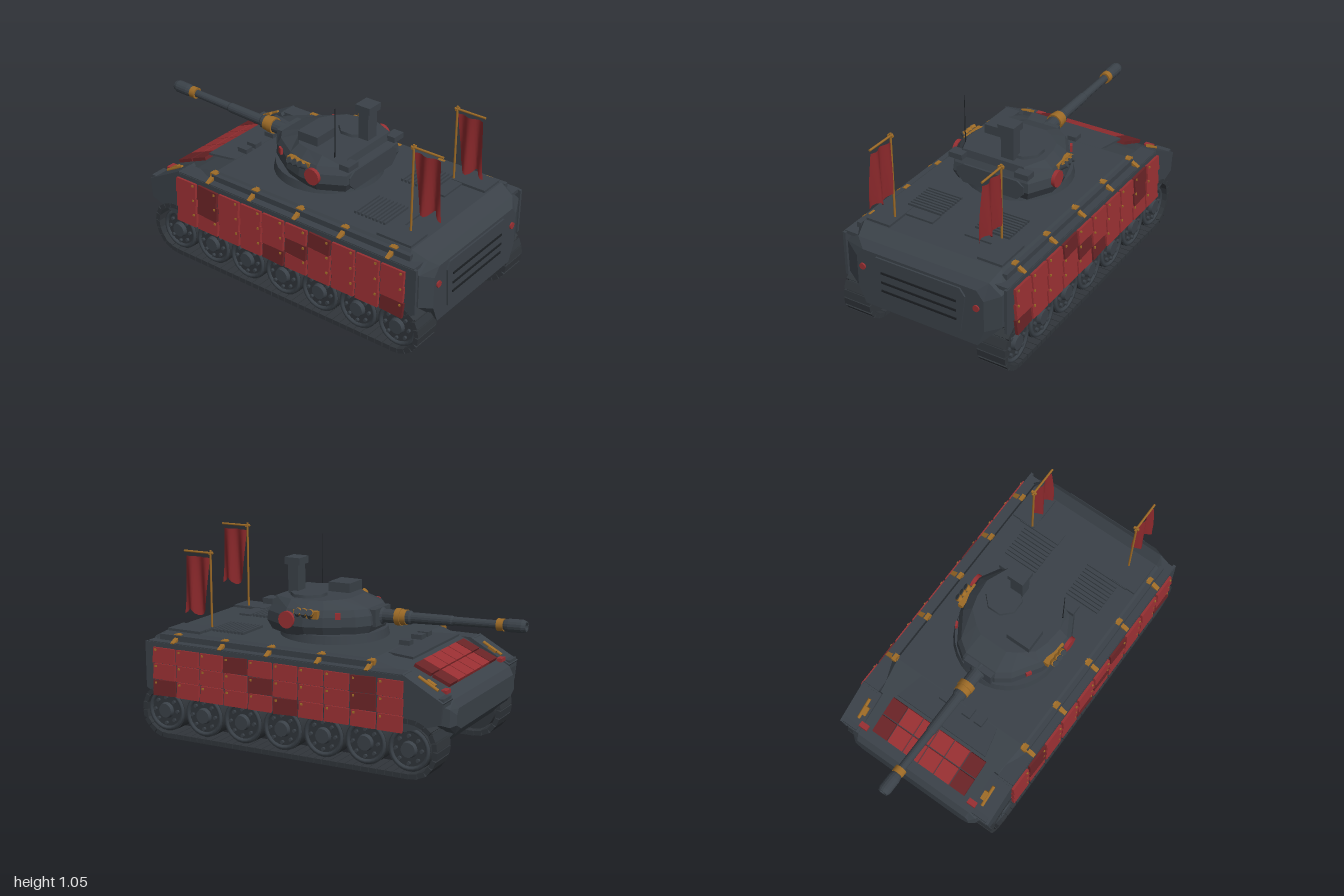
import * as THREE from 'three';

const mat = (name, color) => Object.assign(new THREE.MeshStandardMaterial({ color }), { name });

// Closed flat-shaded solid through equal-length rings of [x, y, z]
function loft(rings) {
  const n = rings[0].length, tris = [];
  const mid = r => r.reduce((a, p) => a.map((v, i) => v + p[i] / n), [0, 0, 0]);
  const first = rings[0], last = rings[rings.length - 1], a = mid(first), b = mid(last);
  for (let j = 0; j < n; j++) {
    const k = (j + 1) % n;
    for (let i = 0; i + 1 < rings.length; i++) {
      const [p, q] = [rings[i], rings[i + 1]];
      tris.push([p[j], p[k], q[k]], [p[j], q[k], q[j]]);
    }
    tris.push([a, first[k], first[j]], [b, last[j], last[k]]);
  }
  const v = p => new THREE.Vector3(...p);
  const volume = tris.reduce((s, t) => s + v(t[0]).dot(v(t[1]).cross(v(t[2]))), 0);
  const list = volume < 0 ? tris.map(([p, q, r]) => [p, r, q]) : tris;
  const g = new THREE.BufferGeometry();
  g.setAttribute('position', new THREE.Float32BufferAttribute(list.flat(2), 3));
  g.computeVertexNormals();
  return g;
}
const mirrorRing = half => [...half, ...half.map(([x, y, z]) => [-x, y, z]).reverse()];

export function createModel() {
  const model = new THREE.Group();
  model.name = 'armouredVehicle';
  const hullMat = mat('slate armour', 0x3a4148), trackMat = mat('dark steel', 0x30353a);
  const redMat = mat('red armour', 0x982f32), deepMat = mat('deep red', 0x692326);
  const goldMat = mat('old gold', 0x9c6a26), slotMat = mat('near black', 0x1d2125);
  const clothMat = mat('banner red', 0x8a282b);
  clothMat.side = THREE.DoubleSide;

  const add = (name, geo, m, pos = [0, 0, 0], rot = [0, 0, 0], parent = model) => {
    const mesh = new THREE.Mesh(geo, m);
    mesh.name = name;
    mesh.position.set(...pos);
    mesh.rotation.set(...rot);
    parent.add(mesh);
    return mesh;
  };
  const box = (name, size, m, pos, rot, parent) => add(name, new THREE.BoxGeometry(...size), m, pos, rot, parent);
  const cyl = (name, r1, r2, h, m, pos, rot, parent, n = 16) =>
    add(name, new THREE.CylinderGeometry(r1, r2, h, n), m, pos, rot, parent);
  const plate = (points, depth) => new THREE.ExtrudeGeometry(
    new THREE.Shape(points.map(p => new THREE.Vector2(...p))), { depth, bevelEnabled: false });
  const H = Math.PI / 2;

  // Hull: z, bottom y, bottom half width, side half width, shoulder y, top half width, top y
  const hullRing = ([z, yb, wb, ws, ys, wt, yt]) => mirrorRing(
    [[wb, yb, z], [ws, yb + (ys - yb) * 0.35, z], [ws, ys, z], [wt, yt, z]]);
  add('upperHull', loft([
    [0.985, 0.17, 0.33, 0.37, 0.44, 0.33, 0.49], [0.95, 0.2, 0.34, 0.45, 0.48, 0.38, 0.53],
    [0.87, 0.25, 0.34, 0.455, 0.5, 0.4, 0.57], [-0.36, 0.25, 0.34, 0.455, 0.5, 0.4, 0.565],
    [-0.52, 0.25, 0.34, 0.44, 0.46, 0.38, 0.515], [-0.72, 0.23, 0.34, 0.42, 0.38, 0.37, 0.43],
    [-0.775, 0.22, 0.33, 0.4, 0.36, 0.36, 0.4], [-0.8, 0.25, 0.32, 0.37, 0.33, 0.35, 0.36]].map(hullRing)), hullMat);
  add('lowerHull', plate([[-0.96, 0.17], [-0.86, 0.12], [0.55, 0.12], [0.7, 0.15], [0.79, 0.25],
    [0.74, 0.34], [-0.96, 0.34]], 0.64), hullMat, [0.32, 0, 0], [0, H, 0]).rotation.y = H;
  model.getObjectByName('lowerHull').position.x = -0.32;

  // Rear door, slots and lamps
  add('rearDoor', plate([[-0.25, 0.22], [0.24, 0.22], [0.27, 0.435], [0.24, 0.475], [-0.25, 0.475], [-0.27, 0.435]],
    0.012), hullMat, [0, 0, 0.982]);
  for (const y of [0.29, 0.34, 0.395]) box('doorSlot', [0.44, 0.012, 0.006], slotMat, [0, y, 0.995]);
  for (const x of [-0.335, 0.33]) cyl('rearLamp', 0.018, 0.018, 0.014, redMat, [x, 0.39, 0.986], [H, 0, 0]);

  // Track path around the end wheels
  const track = new THREE.CurvePath(), pts = [];
  const arc = (z, y, r, a0, a1) => {
    for (let i = 0; i <= 12; i++) {
      const a = a0 + (a1 - a0) * i / 12;
      pts.push(new THREE.Vector3(0, y + r * Math.sin(a), z + r * Math.cos(a)));
    }
  };
  arc(0.835, 0.147, 0.13, -H, H);
  arc(-0.595, 0.157, 0.14, H, 3 * H);
  pts.forEach((p, i) => track.add(new THREE.LineCurve3(p, pts[(i + 1) % pts.length])));

  for (const s of [-1, 1]) {
    const side = new THREE.Group();
    side.name = s > 0 ? 'leftRunningGear' : 'rightRunningGear';
    model.add(side);
    const padCount = 84, padGeo = new THREE.BoxGeometry(0.16, 0.026, 0.04);
    const bandGeo = new THREE.BoxGeometry(0.13, 0.014, 0.05);
    for (let i = 0; i < padCount; i++) {
      const u = i / padCount, p = track.getPointAt(u), t = track.getTangentAt(u);
      const rot = [-Math.atan2(t.y, t.z), 0, 0];
      add('trackPad', padGeo, trackMat, [s * 0.4, p.y, p.z], rot, side);
      add('trackBand', bandGeo, trackMat, [s * 0.4, p.y, p.z], rot, side);
    }
    // Road wheels with rims, hubs and bolts
    for (let i = 0; i < 7; i++) {
      const z = 0.84 - i * 0.238, y = 0.15;
      cyl('roadWheel', 0.115, 0.115, 0.11, trackMat, [s * 0.4, y, z], [0, 0, H], side, 24);
      add('wheelRim', new THREE.TorusGeometry(0.1, 0.012, 6, 24), hullMat, [s * 0.455, y, z], [0, H, 0], side);
      cyl('wheelHub', 0.038, 0.045, 0.025, hullMat, [s * 0.463, y, z], [0, 0, -s * H], side);
      for (let b = 0; b < 8; b++) {
        const a = b * Math.PI / 4;
        cyl('wheelBolt', 0.01, 0.01, 0.016, hullMat,
          [s * 0.46, y + 0.07 * Math.sin(a), z + 0.07 * Math.cos(a)], [0, 0, H], side, 6);
      }
    }

    // Fender, skirt and rail
    box('fender', [0.09, 0.02, 1.5], hullMat, [s * 0.43, 0.515, 0.185]);
    box('frontFender', [0.12, 0.02, 0.25], hullMat, [s * 0.42, 0.46, -0.66], [-0.5, 0, 0]);
    add('skirt', plate([[-0.95, 0.27], [-0.9, 0.24], [0.57, 0.24], [0.76, 0.3], [0.77, 0.4], [0.56, 0.52], [-0.95, 0.52]],
      0.016), hullMat, [s * 0.47 - 0.008, 0, 0], [0, H, 0]);
    box('deckRail', [0.025, 0.03, 1.25], hullMat, [s * 0.425, 0.543, 0.26]);

    // Side armour blocks, a few loose and darker
    const dark = new Set([3, 8, 14, 18, 20, 25]);
    for (let r = 0; r < 3; r++) for (let c = 0; c < 10; c++) {
      const odd = dark.has(r * 10 + c), pos = [s * 0.488, 0.455 - r * 0.088, 0.825 - c * 0.147];
      const tile = box('sideArmourBlock', [0.016, 0.082, 0.134], odd ? deepMat : redMat, pos,
        [odd ? 0.03 : 0, odd ? s * 0.03 : 0, s * 0.1]);
      box('blockStud', [0.008, 0.01, 0.01], goldMat, [s * 0.01, 0.028, 0.05], undefined, tile);
    }

    // Gold brackets along the deck edge
    for (const z of [-0.36, -0.08, 0.21, 0.49, 0.78]) {
      box('skirtBracket', [0.09, 0.014, 0.024], goldMat, [s * 0.435, 0.54, z], [0, 0, -s * 0.5]);
      box('bracketFoot', [0.03, 0.024, 0.04], goldMat, [s * 0.415, 0.55, z]);
    }
    cyl('fenderBar', 0.009, 0.009, 0.12, goldMat, [s * 0.4, 0.475, -0.66], [H - 0.5, 0, 0]);
    box('fenderClamp', [0.025, 0.025, 0.05], goldMat, [s * 0.385, 0.47, -0.665], [-0.5, 0, 0]);
    box('headLampBox', [0.09, 0.045, 0.05], hullMat, [s * 0.42, 0.405, -0.745]);
    box('frontMarker', [0.05, 0.02, 0.03], redMat, [s * 0.35, 0.435, -0.73]);

    // Deck boxes and cooling slats
    box('deckBox', [0.14, 0.03, 0.2], hullMat, [s * 0.325, 0.568, 0.76]);
    box('deckCover', [0.25, 0.02, 0.07], hullMat, [s * 0.22, 0.57, 0.69]);
    for (let i = 0; i < 9; i++) box('coolingSlat', [0.2, 0.016, 0.012], hullMat, [s * 0.2, 0.574, 0.46 + i * 0.022]);
  }

  // Bow armour blocks
  const bow = new THREE.Group();
  bow.name = 'bowArmour';
  bow.position.set(0, 0.49, -0.63);
  bow.rotation.x = -0.4;
  model.add(bow);
  for (let r = 0; r < 2; r++) for (let c = 0; c < 6; c++)
    box('bowArmourBlock', [0.093, 0.018, 0.1], c % 5 ? redMat : deepMat, [-0.25 + c * 0.1, 0, -0.054 + r * 0.108], undefined, bow);
  add('driverPlate', plate([[-0.28, 0.52], [0.28, 0.52], [0.24, 0.35], [-0.24, 0.35]].reverse(), 0.012),
    hullMat, [0, 0.552, 0], [H, 0, 0]);
  for (const x of [-0.15, -0.075, 0.07]) box('visionBlock', [0.05, 0.025, 0.06], hullMat, [x, 0.58, -0.38]);
  model.getObjectByName('driverPlate').scale.y = -1;
  model.getObjectByName('driverPlate').rotation.set(-H, 0, 0);
  model.getObjectByName('driverPlate').scale.y = 1;

  // Turret: rings of [x, z] at rising heights
  cyl('turretRing', 0.28, 0.29, 0.045, hullMat, [0, 0.587, 0.07], undefined, undefined, 32);
  const outline = [[0.1, -0.19], [0.17, -0.14], [0.26, 0], [0.29, 0.1], [0.295, 0.21], [0.22, 0.345]];
  const roof = [[0.08, -0.06], [0.13, -0.03], [0.2, 0.03], [0.22, 0.1], [0.23, 0.2], [0.18, 0.32]];
  const level = (pts2, y, k) => mirrorRing(pts2.map(([x, z]) => [x * k, y, 0.08 + (z - 0.08) * k]));
  add('turret', loft([level(outline, 0.6, 0.94), level(outline, 0.65, 1.02), level(outline, 0.7, 1),
    level(outline, 0.735, 0.93), level(roof, 0.775, 1)]), hullMat);
  add('turretRearPanel', plate([[-0.16, 0.6], [0.16, 0.6], [0.2, 0.64], [0.2, 0.68], [0.16, 0.705], [-0.16, 0.705],
    [-0.2, 0.68], [-0.2, 0.64]], 0.012), hullMat, [0, 0, 0.342]);
  for (const s of [-1, 1]) {
    box('rearStowage', [0.08, 0.03, 0.06], hullMat, [s * 0.195, 0.75, 0.34]);
    cyl('turretDisc', 0.045, 0.045, 0.02, redMat, [s * 0.297, 0.68, 0.19], [0, 0, H]);
    box('turretMarker', [0.012, 0.035, 0.03], redMat, [s * 0.228, 0.71, -0.07], [0, s * 0.5, 0]);
    // Smoke launchers
    for (let i = 0; i < 3; i++) {
      const z = 0.06 + i * 0.035, rot = [-0.5, 0, -s * 0.9];
      cyl('smokeTube', 0.017, 0.017, 0.07, hullMat, [s * 0.285, 0.715, z], rot);
      cyl('smokeTubeCollar', 0.019, 0.019, 0.018, goldMat, [s * 0.3, 0.73, z - 0.01], rot);
    }
    box('launcherArm', [0.03, 0.04, 0.14], goldMat, [s * 0.27, 0.715, 0.09]);
  }

  // Roof fittings
  box('sightBox', [0.14, 0.055, 0.125], hullMat, [-0.105, 0.798, 0.065]);
  cyl('hatch', 0.095, 0.1, 0.025, hullMat, [0.1, 0.778, 0.17], [0, 0.4, 0], undefined, 8);
  box('periscopeStem', [0.075, 0.17, 0.06], hullMat, [0.067, 0.85, 0.262]);
  box('periscopeHead', [0.095, 0.038, 0.09], hullMat, [0.067, 0.947, 0.262]);
  cyl('antenna', 0.0015, 0.003, 0.3, slotMat, [-0.205, 0.895, 0.26], undefined, undefined, 6);

  // Gun
  const gun = new THREE.Group();
  gun.name = 'gun';
  gun.position.set(-0.005, 0.682, -0.15);
  gun.rotation.x = 0.035;
  model.add(gun);
  const turned = (name, pts2, m) => add(name, new THREE.LatheGeometry(pts2.map(p => new THREE.Vector2(...p)), 16)
    .toNonIndexed(), m, [0, 0, 0], [-H, 0, 0], gun).geometry.computeVertexNormals();
  box('mantlet', [0.17, 0.09, 0.1], hullMat, [0, 0, -0.01], undefined, gun);
  turned('barrel', [[0, 0], [0.05, 0], [0.045, 0.06], [0.036, 0.07], [0.036, 0.22], [0.029, 0.23], [0.027, 0.45],
    [0.023, 0.46], [0.021, 0.72], [0.03, 0.74], [0.034, 0.76], [0.034, 0.83], [0.026, 0.85], [0.018, 0.85],
    [0.018, 0.8], [0, 0.8]], hullMat);
  for (const [r, z, w] of [[0.045, 0.155, 0.03], [0.041, 0.185, 0.03], [0.032, 0.715, 0.035]])
    cyl('gunBand', r, r, w, goldMat, [0, 0, -z], [H, 0, 0], gun);

  // Banners on poles
  for (const [x, z, top] of [[-0.28, 0.78, 1.055], [0.27, 0.665, 0.995]]) {
    cyl('bannerPole', 0.006, 0.006, top - 0.56, goldMat, [x, (top + 0.56) / 2, z], undefined, undefined, 8);
    cyl('bannerBar', 0.006, 0.006, 0.18, goldMat, [x, top - 0.015, z + 0.075], [H, 0, 0], undefined, 8);
    box('poleFinial', [0.03, 0.012, 0.012], goldMat, [x, top - 0.015, z]);
    const cloth = new THREE.PlaneGeometry(0.165, 0.3, 12, 10), p = cloth.attributes.position;
    for (let i = 0; i < p.count; i++) {
      const u = p.getX(i) / 0.165 + 0.5, v = 0.5 - p.getY(i) / 0.3;
      p.setXYZ(i, (0.008 + 0.014 * v) * Math.sin(u * 10 + v * 2), -v * (0.3 - 0.02 * Math.cos(u * 9)), 0.005 + u * 0.15 + v * 0.022);
    }
    cloth.computeVertexNormals();
    add('banner', cloth, clothMat, [x, top - 0.04, z]);
  }
  return model;
}
